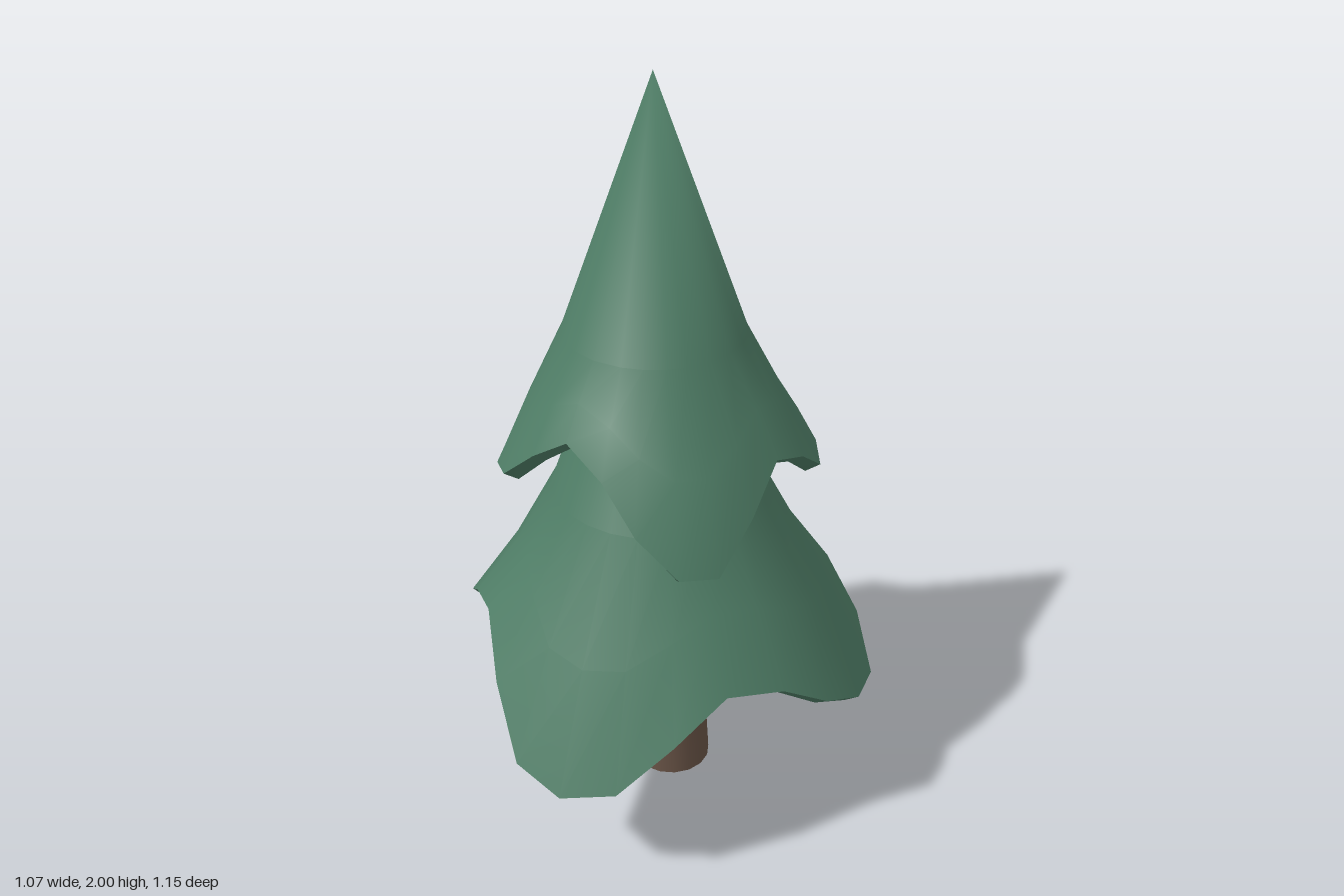
import * as THREE from 'three';
import { mergeGeometries } from 'three/addons/utils/BufferGeometryUtils.js';

// Smooth closed strip through rings of points; a ring may be a single tip point
function strip(rings) {
  const n = Math.max(...rings.map(r => r.length)), index = [];
  let start = 0;
  for (let r = 0; r < rings.length - 1; r++) {
    const top = start, upper = rings[r].length, lower = rings[r + 1].length;
    start += upper;
    for (let i = 0; i < n; i++) {
      const t0 = top + i % upper, t1 = top + (i + 1) % upper;
      const b0 = start + i % lower, b1 = start + (i + 1) % lower;
      if (lower > 1) index.push(b0, t0, b1);
      if (upper > 1) index.push(t0, t1, b1);
    }
  }
  const geo = new THREE.BufferGeometry();
  geo.setAttribute('position', new THREE.Float32BufferAttribute(rings.flat(2), 3));
  geo.setIndex(index);
  geo.computeVertexNormals();
  return geo;
}

// Thick skirt of foliage: apex, shoulder ring, drooping middle ring, wavy rim
function foliage(name, material, { rim, apex, center, middleCenter, shoulderY, shoulderR, slope }) {
  const ring = ([cx, cz], yAt, rAt) => rim.map(([x, y, z]) => {
    const a = Math.atan2(z - cz, x - cx), yy = yAt(y), r = rAt(yy);
    return [cx + Math.cos(a) * r, yy, cz + Math.sin(a) * r];
  });
  const inset = (points) => points.map(([x, y, z]) => {
    const [cx, cz] = center, k = 1 - 0.037 / Math.hypot(x - cx, z - cz);
    return [cx + (x - cx) * k, y - 0.023, cz + (z - cz) * k];
  });
  const shoulder = ring(center, () => shoulderY, () => shoulderR);
  const middle = ring(middleCenter, y => (shoulderY + y) / 2, y => shoulderR + (shoulderY - y) * slope);
  const innerRim = inset(rim);
  const geo = mergeGeometries([
    strip([[apex], shoulder, middle, rim]),
    strip([rim, innerRim]),
    strip([innerRim, inset(middle), inset(shoulder), [[apex[0], apex[1] - 0.05, apex[2]]]]),
  ]);
  const mesh = new THREE.Mesh(geo, material);
  mesh.name = name;
  return mesh;
}

export function createModel() {
  const green = new THREE.MeshStandardMaterial({ color: 0x4f7d66 });
  green.name = 'needle green';
  const brown = new THREE.MeshStandardMaterial({ color: 0x685346 });
  brown.name = 'bark brown';

  const tree = new THREE.Group();
  tree.name = 'pineTree';

  // Trunk, sheared slightly forward so its foot stays level
  const bark = new THREE.CylinderGeometry(0.068, 0.109, 1, 16).translate(0, 0.5, 0);
  bark.applyMatrix4(new THREE.Matrix4().set(1, 0, 0, 0, 0, 1, 0, 0, 0, 0.03, 1, 0, 0, 0, 0, 1));
  const trunk = new THREE.Mesh(bark, brown);
  trunk.name = 'trunk';
  trunk.position.set(-0.013, 0, -0.052);
  tree.add(trunk);

  // Lower foliage, rim runs back, +x, front, -x
  tree.add(foliage('lowerFoliage', green, {
    apex: [-0.01, 1.72, 0], center: [0, 0.01], middleCenter: [0, 0.01],
    shoulderY: 0.95, shoulderR: 0.28, slope: 0.53,
    rim: [
      [-0.015, 0.415, -0.575], [0.1, 0.475, -0.53], [0.235, 0.585, -0.435], [0.38, 0.495, -0.375],
      [0.49, 0.39, -0.29], [0.535, 0.41, -0.16], [0.53, 0.485, -0.015], [0.48, 0.57, 0.11],
      [0.41, 0.6, 0.25], [0.355, 0.5, 0.385], [0.265, 0.375, 0.5], [0.14, 0.343, 0.57],
      [0, 0.38, 0.575], [-0.13, 0.53, 0.505], [-0.245, 0.65, 0.41], [-0.37, 0.61, 0.33],
      [-0.485, 0.515, 0.245], [-0.5, 0.48, 0.12], [-0.535, 0.445, -0.01], [-0.5, 0.475, -0.14],
      [-0.485, 0.505, -0.27], [-0.38, 0.58, -0.36], [-0.255, 0.585, -0.45], [-0.14, 0.485, -0.53],
    ],
  }));

  // Upper foliage
  tree.add(foliage('upperFoliage', green, {
    apex: [-0.03, 2, 0], center: [-0.02, 0.01], middleCenter: [0, 0.025],
    shoulderY: 1.375, shoulderR: 0.228, slope: 0.52,
    rim: [
      [-0.015, 0.99, -0.415], [0.085, 1.05, -0.38], [0.19, 1.09, -0.315], [0.285, 1.05, -0.265],
      [0.345, 1.03, -0.2], [0.355, 1.1, -0.105], [0.352, 1.135, 0], [0.37, 1.035, 0.115],
      [0.37, 0.93, 0.24], [0.31, 0.935, 0.315], [0.21, 1.03, 0.353], [0.105, 1.14, 0.35],
      [-0.01, 1.2, 0.343], [-0.115, 1.13, 0.35], [-0.22, 1.04, 0.35], [-0.31, 1.01, 0.285],
      [-0.375, 0.98, 0.205], [-0.44, 0.93, 0.11], [-0.455, 0.93, 0.015], [-0.41, 1.02, -0.085],
      [-0.33, 1.105, -0.18], [-0.275, 1.055, -0.285], [-0.215, 0.975, -0.365], [-0.12, 0.96, -0.405],
    ],
  }));

  return tree;
}
